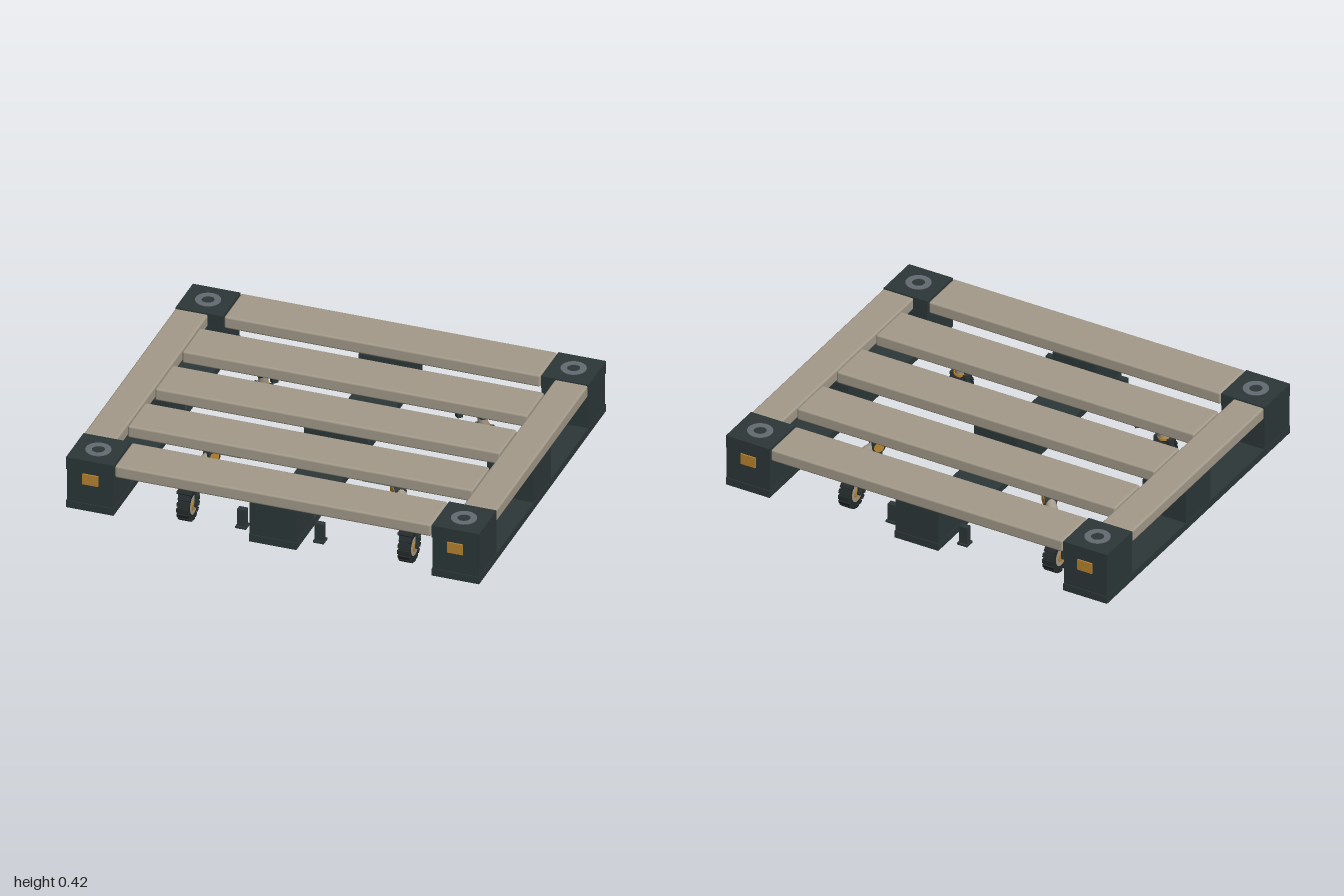
import * as THREE from 'three';
import { RoundedBoxGeometry } from 'three/addons/geometries/RoundedBoxGeometry.js';

const mat = (name, color) => Object.assign(new THREE.MeshStandardMaterial({ color }), { name });

export function createModel() {
  const tan = mat('tan plank', 0xa39a8a);
  const dark = mat('dark frame', 0x2c3738);
  const rubber = mat('black rubber', 0x242a2b);
  const amber = mat('amber', 0xb8842e);
  const metal = mat('grey metal', 0x626b72);

  const model = new THREE.Group();
  model.name = 'pallet';

  const add = (parent, name, geometry, material, x = 0, y = 0, z = 0) => {
    const mesh = new THREE.Mesh(geometry, material);
    mesh.name = name;
    mesh.position.set(x, y, z);
    parent.add(mesh);
    return mesh;
  };
  const box = (parent, name, material, w, h, d, x, y, z) =>
    add(parent, name, new THREE.BoxGeometry(w, h, d), material, x, y, z);
  const plank = (name, w, d, x, z) =>
    add(model, name, new RoundedBoxGeometry(w, 0.062, d, 2, 0.01), tan, x, 0.387, z);
  // Cylinder lying along x
  const roller = (parent, name, material, r, length, x, y, z, sides = 20) => {
    const g = new THREE.CylinderGeometry(r, r, length, sides).rotateZ(Math.PI / 2);
    return add(parent, name, g, material, x, y, z);
  };
  // Rod between two points of the local yz plane
  const rod = (parent, name, material, r, y0, z0, y1, z1) => {
    const a = new THREE.Vector3(0, y0, z0), b = new THREE.Vector3(0, y1, z1);
    const dir = b.clone().sub(a);
    const mesh = add(parent, name, new THREE.CylinderGeometry(r, r, dir.length(), 14), material);
    mesh.position.addVectors(a, b).multiplyScalar(0.5);
    mesh.quaternion.setFromUnitVectors(new THREE.Vector3(0, 1, 0), dir.normalize());
  };

  // Deck planks
  for (const s of [-1, 1]) {
    plank('endPlank', 1.53, 0.228, 0, s * 0.715);
    plank('sidePlank', 0.16, 1.195, s * 0.919, 0);
  }
  for (const z of [-0.357, 0, 0.357]) plank('deckPlank', 1.67, 0.228, 0, z);

  // Three runners with spacer blocks
  for (const x of [-0.885, 0, 0.885]) {
    box(model, 'runner', dark, 0.23, 0.036, 1.66, x, 0.173, 0);
    for (const z of [-0.712, 0, 0.712])
      box(model, 'spacerBlock', dark, 0.226, 0.167, 0.226, x, 0.2735, z);
  }

  // Corner caps with sockets and reflectors
  const ring = new THREE.Shape().absarc(0, 0, 0.06, 0, Math.PI * 2);
  ring.holes.push(new THREE.Path().absarc(0, 0, 0.03, 0, Math.PI * 2, true));
  const ringGeo = new THREE.ExtrudeGeometry(ring, { depth: 0.005, bevelEnabled: false, curveSegments: 12 })
    .rotateX(-Math.PI / 2);
  for (const sx of [-1, 1]) for (const sz of [-1, 1]) {
    box(model, 'cornerCap', dark, 0.23, 0.063, 0.23, sx * 0.885, 0.3865, sz * 0.715);
    add(model, 'socketRing', ringGeo, metal, sx * 0.885, 0.416, sz * 0.717);
    box(model, 'reflector', amber, 0.076, 0.054, 0.008, sx * 0.883, 0.319, sz * 0.828);
    // Small brackets beside the centre runner
    box(model, 'bracket', dark, 0.042, 0.095, 0.03, sx * 0.188, 0.203, sz * 0.715);
    box(model, 'bracketFoot', dark, 0.052, 0.01, 0.05, sx * 0.188, 0.16, sz * 0.715);
    addCaster(sx, sz);
  }

  // Folding wheel legs: the arm swings out diagonally, the wheel rolls along z
  function addCaster(sx, sz) {
    const caster = new THREE.Group();
    caster.name = 'wheelLeg';
    caster.position.set(sx * 0.535, 0, sz * 0.488);
    model.add(caster);

    const arm = new THREE.Group();
    arm.name = 'foldingArm';
    arm.rotation.y = Math.atan2(sx, sz);
    caster.add(arm);
    const joints = [[0.31, -0.118], [0.25, -0.012]];
    for (const [y, z] of joints) {
      roller(arm, 'joint', dark, 0.031, 0.056, 0, y, z);
      roller(arm, 'jointCap', amber, 0.023, 0.063, 0, y, z);
    }
    rod(arm, 'upperArm', tan, 0.026, 0.31, -0.118, 0.25, -0.012);
    rod(arm, 'lowerArm', tan, 0.024, 0.25, -0.012, 0.165, 0);
    box(arm, 'hanger', dark, 0.03, 0.1, 0.026, 0, 0.3, -0.125);

    // Mounting plate under the deck
    box(caster, 'mountPlate', metal, 0.15, 0.008, 0.1, -sx * 0.165, 0.348, -sz * 0.09);

    // Fork
    rod(caster, 'swivelCollar', amber, 0.03, 0.168, 0, 0.178, 0);
    box(caster, 'forkCrown', dark, 0.09, 0.014, 0.034, 0, 0.168, 0);
    for (const s of [-1, 1]) {
      box(caster, 'forkLeg', dark, 0.01, 0.09, 0.028, s * 0.04, 0.125, 0);
      roller(caster, 'forkBolt', dark, 0.009, 0.012, s * 0.048, 0.13, 0, 10);
    }

    // Wheel
    const wheel = new THREE.Group();
    wheel.name = 'wheel';
    wheel.position.y = 0.08;
    caster.add(wheel);
    roller(wheel, 'tyre', rubber, 0.073, 0.052, 0, 0, 0, 32);
    roller(wheel, 'rim', tan, 0.047, 0.056, 0, 0, 0, 24);
    roller(wheel, 'hub', amber, 0.027, 0.062, 0, 0, 0, 18);
    roller(wheel, 'axle', dark, 0.011, 0.092, 0, 0, 0, 12);
    for (let i = 0; i < 16; i++) {
      const a = (i / 16) * Math.PI * 2;
      const lug = box(wheel, 'treadLug', rubber, 0.058, 0.014, 0.02, 0, Math.cos(a) * 0.072, Math.sin(a) * 0.072);
      lug.rotation.x = a;
    }
  }

  return model;
}
